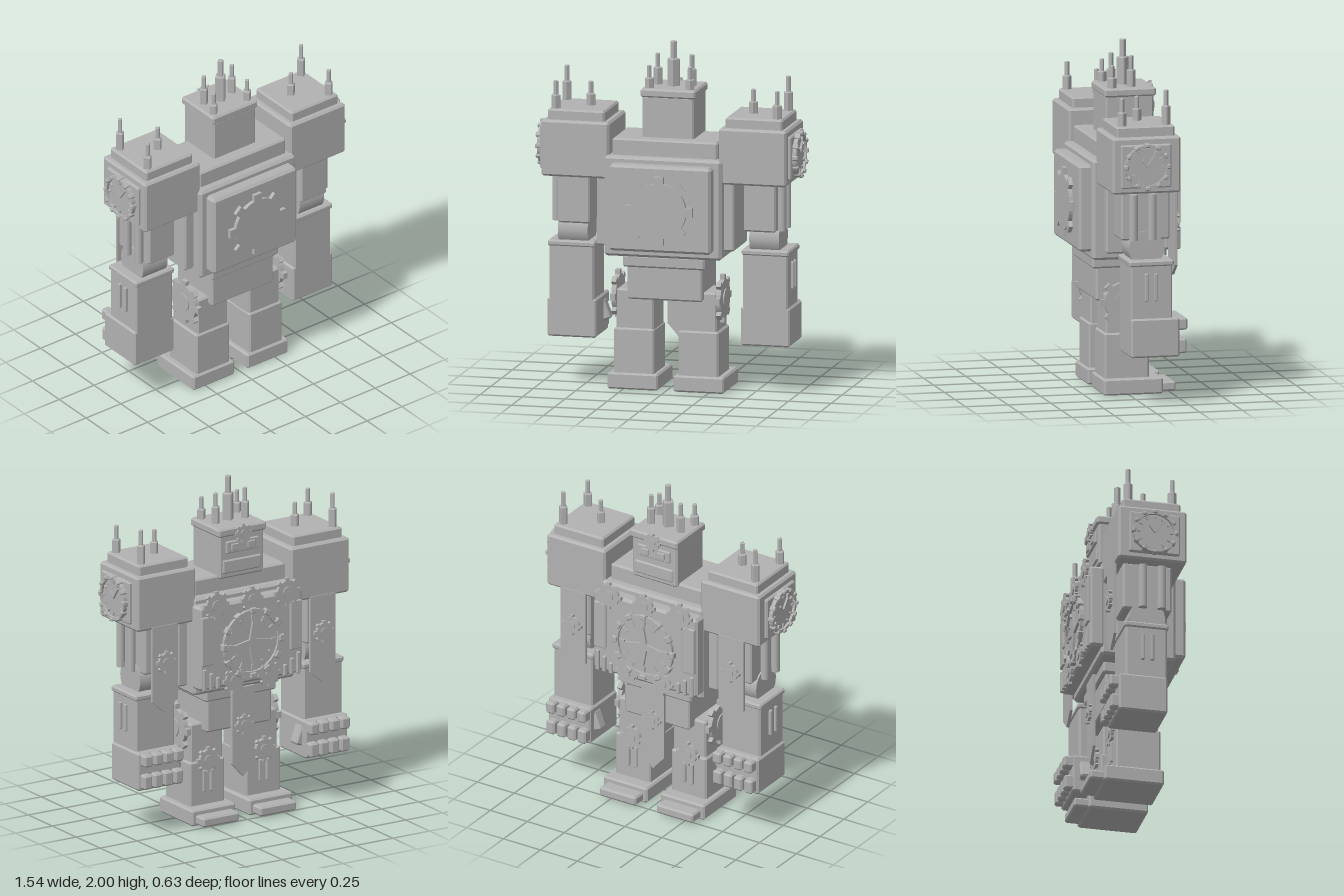
import * as THREE from 'three';
import { ConvexGeometry } from 'three/addons/geometries/ConvexGeometry.js';

const stone = new THREE.MeshStandardMaterial({ color: 0xb2b2b2 });
stone.name = 'stone grey';

function add(parent, name, geo, x = 0, y = 0, z = 0) {
  const m = new THREE.Mesh(geo, stone);
  m.name = name;
  m.position.set(x, y, z);
  parent.add(m);
  return m;
}

// Box with chamfered edges
function chamferBox(w, h, d, b = 0.01) {
  b = Math.min(b, w / 4, h / 4, d / 4);
  const pts = [];
  for (const i of [-1, 1]) for (const j of [-1, 1]) for (const k of [-1, 1])
    for (let a = 0; a < 3; a++)
      pts.push(new THREE.Vector3(
        i * (w / 2 - (a === 0 ? 0 : b)),
        j * (h / 2 - (a === 1 ? 0 : b)),
        k * (d / 2 - (a === 2 ? 0 : b))));
  return new ConvexGeometry(pts);
}

// Chamfered block given by its limits; s = -1 mirrors it in x
function block(parent, name, [x0, x1], [y0, y1], [z0, z1], s = 1, b = 0.01) {
  return add(parent, name, chamferBox(x1 - x0, y1 - y0, z1 - z0, b),
    s * (x0 + x1) / 2, (y0 + y1) / 2, (z0 + z1) / 2);
}

const plate = (shape, depth) => new THREE.ExtrudeGeometry(shape, { depth, bevelEnabled: false });

// Toothed wheel facing +z, with its back on z = 0
function gearGeometry(r, depth, teeth = 8) {
  const pts = [], inner = r * 0.8, half = 0.17;
  for (let i = 0; i < teeth; i++) {
    const a = (i / teeth) * Math.PI * 2, step = (Math.PI * 2) / teeth;
    const at = (rad, t) => pts.push(new THREE.Vector2(Math.cos(t) * rad, Math.sin(t) * rad));
    at(inner, a - half); at(r, a - half * 0.8); at(r, a + half * 0.8); at(inner, a + half);
    for (const f of [0.33, 0.67]) at(inner, a + half + (step - 2 * half) * f);
  }
  return plate(new THREE.Shape(pts), depth);
}

function gear(parent, name, r, depth, x, y, z, ry) {
  const g = new THREE.Group();
  g.name = name;
  add(g, 'toothedWheel', gearGeometry(r, depth));
  const hub = add(g, 'hub', new THREE.CylinderGeometry(r * 0.4, r * 0.4, 0.008, 12), 0, 0, depth + 0.003);
  hub.rotation.x = Math.PI / 2;
  g.position.set(x, y, z);
  g.rotation.y = ry;
  parent.add(g);
  return g;
}

// Clock face facing +z: disc, rim, hour marks and rim studs
function clock(name, r) {
  const g = new THREE.Group();
  g.name = name;
  const disc = add(g, 'clockDisc', new THREE.CylinderGeometry(r * 0.9, r * 0.9, 0.02, 24), 0, 0, 0.01);
  disc.rotation.x = Math.PI / 2;
  const rim = new THREE.Shape().absarc(0, 0, r * 0.95, 0, Math.PI * 2);
  rim.holes.push(new THREE.Path().absarc(0, 0, r * 0.82, 0, Math.PI * 2, true));
  add(g, 'clockRim', new THREE.ExtrudeGeometry(rim, { depth: 0.035, bevelEnabled: false, curveSegments: 12 }));
  for (let i = 0; i < 12; i++) {
    const a = (i / 12) * Math.PI * 2;
    const mark = add(g, 'hourMark', new THREE.BoxGeometry(r * 0.16, r * 0.06, 0.012),
      Math.cos(a) * r * 0.7, Math.sin(a) * r * 0.7, 0.024);
    const stud = add(g, 'rimStud', chamferBox(r * 0.16, r * 0.2, 0.045, 0.005),
      Math.cos(a) * r * 0.92, Math.sin(a) * r * 0.92, 0.0225);
    mark.rotation.z = stud.rotation.z = a;
  }
  return g;
}

// Hanging banner with a pointed end
function banner(parent, x, w, top, low, tip, z) {
  const h = w / 2;
  const s = new THREE.Shape([[-h, top], [-h, low], [0, tip], [h, low], [h, top]].map(p => new THREE.Vector2(...p)));
  add(parent, 'banner', plate(s, 0.016), x, 0, z);
}

// Stepped spire, square section turned by 45 degrees
function spire(parent, x, z, y0, mid, top, w = 0.042) {
  add(parent, 'spireBase', chamferBox(w, mid - y0, w, 0.006), x, (y0 + mid) / 2, z).rotation.y = Math.PI / 4;
  add(parent, 'spireTip', chamferBox(w * 0.55, top - mid + 0.02, w * 0.55, 0.004), x, (mid + top) / 2 - 0.01, z).rotation.y = Math.PI / 4;
}

function buildTorso(root) {
  const t = new THREE.Group();
  t.name = 'torso';
  root.add(t);
  block(t, 'chest', [-0.345, 0.345], [0.785, 1.365], [-0.22, 0.215], 1, 0.015);
  block(t, 'chestPanel', [-0.3, 0.3], [0.83, 1.33], [0.2, 0.285], 1, 0.015);
  block(t, 'neckBlock', [-0.31, 0.31], [1.35, 1.46], [-0.17, 0.165]);
  block(t, 'clockPanel', [-0.35, 0.35], [0.83, 1.33], [-0.29, -0.2], 1, 0.015);
  add(t, 'largeGear', gearGeometry(0.2, 0.025), 0, 1.075, 0.283);
  block(t, 'waist', [-0.24, 0.24], [0.72, 0.79], [-0.185, 0.19]);
  block(t, 'pelvis', [-0.22, 0.22], [0.53, 0.73], [-0.165, 0.165]);

  // Great clock with a four-pointed star
  const c = clock('greatClock', 0.21);
  c.position.set(0, 1.07, -0.275);
  c.rotation.y = Math.PI;
  const star = new THREE.Shape(Array.from({ length: 8 }, (_, i) => {
    const a = (i * Math.PI) / 4, r = i % 2 ? 0.028 : 0.125;
    return new THREE.Vector2(Math.cos(a) * r, Math.sin(a) * r);
  }));
  add(c, 'star', plate(star, 0.014), 0, 0, 0.02);
  t.add(c);
  gear(t, 'panelGear', 0.075, 0.018, 0, 1.33, -0.288, Math.PI);
  for (const s of [-1, 1]) {
    gear(t, 'panelGear', 0.085, 0.018, s * 0.24, 1.33, -0.285, Math.PI);
    gear(t, 'panelGear', 0.075, 0.018, s * 0.12, 0.865, -0.285, Math.PI);
    block(t, 'sidePanel', [0.33, 0.405], [0.83, 1.32], [-0.15, 0.15], s);
    block(t, 'panelStrip', [0.26, 0.34], [0.98, 1.27], [-0.302, -0.28], s, 0.005);
    for (let i = 0; i < 3; i++)
      block(t, 'panelBar', [0.215 + i * 0.045, 0.24 + i * 0.045], [0.83, 0.9 + i * 0.03], [-0.303, -0.28], s, 0.005);
  }
  banner(t, 0, 0.15, 0.78, 0.33, 0.245, -0.207);
  gear(t, 'bannerGear', 0.06, 0.018, 0, 0.56, -0.205, Math.PI);
}

function buildHead(root) {
  const h = new THREE.Group();
  h.name = 'head';
  root.add(h);
  block(h, 'skull', [-0.152, 0.152], [1.44, 1.7], [-0.19, 0.09]);
  block(h, 'headCap', [-0.162, 0.162], [1.69, 1.74], [-0.203, 0.098]);
  block(h, 'jaw', [-0.13, 0.13], [1.47, 1.55], [-0.2, -0.17]);
  block(h, 'eyePlate', [-0.11, 0.11], [1.59, 1.66], [-0.203, -0.18], 1, 0.005);
  gear(h, 'browGear', 0.055, 0.016, 0, 1.7, -0.198, Math.PI);
  spire(h, 0, -0.045, 1.73, 1.9, 2, 0.055);
  for (const s of [-1, 1]) {
    block(h, 'eye', [0.03, 0.08], [1.605, 1.645], [-0.212, -0.2], s, 0.004);
    spire(h, s * 0.1, -0.07, 1.73, 1.84, 1.92);
    spire(h, s * 0.12, 0.047, 1.73, 1.8, 1.87);
  }
}

function buildArm(root, s) {
  const a = new THREE.Group();
  a.name = s > 0 ? 'leftArm' : 'rightArm';
  root.add(a);
  block(a, 'shoulder', [0.322, 0.72], [1.225, 1.55], [-0.21, 0.19], s, 0.012);
  block(a, 'shoulderCap', [0.355, 0.69], [1.54, 1.61], [-0.18, 0.16], s);
  spire(a, s * 0.65, -0.138, 1.6, 1.72, 1.81);
  spire(a, s * 0.65, 0.12, 1.6, 1.69, 1.77);
  spire(a, s * 0.478, -0.01, 1.6, 1.68, 1.75);
  block(a, 'clockMount', [0.71, 0.738], [1.26, 1.51], [-0.15, 0.145], s);
  const c = clock('shoulderClock', 0.135);
  for (const [len, ang] of [[0.05, 2.2], [0.085, 0.95]]) {
    const hand = add(c, 'clockHand', new THREE.BoxGeometry(len, 0.01, 0.012),
      Math.cos(ang) * len / 2, Math.sin(ang) * len / 2, 0.025);
    hand.rotation.z = ang;
  }
  c.position.set(s * 0.727, 1.385, -0.005);
  c.rotation.y = s * Math.PI / 2;
  a.add(c);

  // Upper arm, pipes and elbow
  block(a, 'upperArm', [0.452, 0.64], [0.945, 1.23], [-0.165, 0.12], s);
  for (const z of [-0.055, 0.055])
    add(a, 'armPipe', new THREE.CylinderGeometry(0.025, 0.025, 0.265, 12), s * 0.662, 1.08, z);
  add(a, 'elbow', new THREE.CylinderGeometry(0.105, 0.105, 0.175, 16), s * 0.562, 0.895, -0.025).rotation.z = Math.PI / 2;
  banner(a, s * 0.535, 0.17, 1.24, 0.79, 0.72, -0.215);
  gear(a, 'bannerGear', 0.065, 0.022, s * 0.535, 1.025, -0.212, Math.PI);

  // Forearm and fist
  block(a, 'forearm', [0.437, 0.7], [0.48, 0.82], [-0.165, 0.08], s);
  block(a, 'forearmCap', [0.43, 0.708], [0.8, 0.835], [-0.172, 0.087], s);
  for (const z of [-0.065, -0.01])
    block(a, 'forearmSlat', [0.69, 0.716], [0.6, 0.76], [z - 0.01, z + 0.01], s, 0.004);
  block(a, 'fist', [0.425, 0.712], [0.275, 0.5], [-0.205, 0.08], s);
  for (let i = 0; i < 4; i++) {
    const x = 0.43 + i * 0.07;
    block(a, 'knuckle', [x, x + 0.058], [0.425, 0.495], [-0.255, -0.19], s);
    block(a, 'finger', [x, x + 0.058], [0.29, 0.375], [-0.25, -0.19], s);
  }
  add(a, 'thumb', chamferBox(0.055, 0.12, 0.07), s * 0.43, 0.405, -0.13).rotation.z = -0.35 * s;
}

function buildLeg(root, s) {
  const l = new THREE.Group();
  l.name = s > 0 ? 'leftLeg' : 'rightLeg';
  root.add(l);
  block(l, 'thigh', [0.075, 0.295], [0.34, 0.58], [-0.11, 0.125], s);
  block(l, 'shin', [0.07, 0.308], [0.08, 0.355], [-0.125, 0.135], s);
  block(l, 'foot', [0.045, 0.342], [0, 0.095], [-0.2, 0.148], s);
  block(l, 'toe', [0.07, 0.317], [0.01, 0.065], [-0.28, -0.19], s);
  gear(l, 'hipGear', 0.14, 0.028, s * 0.293, 0.535, 0.025, s * Math.PI / 2);
  gear(l, 'kneeGear', 0.075, 0.022, s * 0.19, 0.36, -0.12, Math.PI);
  for (const x of [0.165, 0.215])
    block(l, 'shinSlat', [x - 0.01, x + 0.01], [0.17, 0.3], [-0.138, -0.115], s, 0.004);
}

export function createModel() {
  const root = new THREE.Group();
  root.name = 'clockworkGolem';
  buildTorso(root);
  buildHead(root);
  for (const s of [-1, 1]) {
    buildArm(root, s);
    buildLeg(root, s);
  }
  return root;
}
